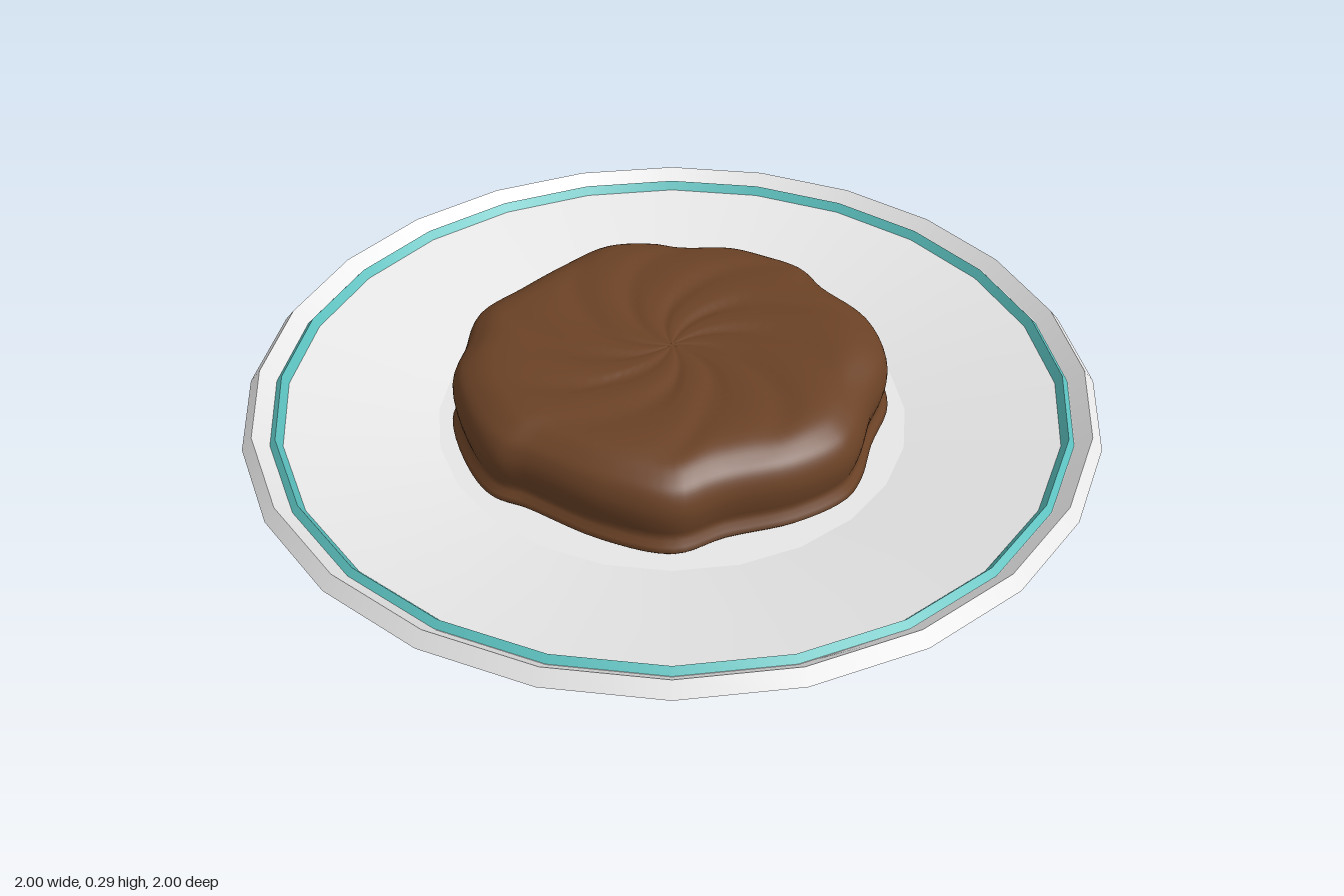
import * as THREE from 'three';

const SIDES = 24;

function material(name, color) {
  const m = new THREE.MeshStandardMaterial({ color });
  m.name = name;
  return m;
}

// One turned surface per profile, so the edges between profiles stay sharp
function turned(name, mat, profile) {
  const points = profile.map(([r, y]) => new THREE.Vector2(r, y));
  const mesh = new THREE.Mesh(new THREE.LatheGeometry(points, SIDES), mat);
  mesh.name = name;
  return mesh;
}

// Lumpy round patty with a shallow swirl of grooves on its top
function pattyGeometry() {
  const outline = [
    [0.5, 0.02], [0.5, 0.1], [0.44, 0.22], [0.33, 0.34], [0.26, 0.44], [0.1, 0.48],
    [-0.1, 0.475], [-0.18, 0.48], [-0.28, 0.43], [-0.42, 0.3], [-0.46, 0.2], [-0.51, 0.08],
    [-0.485, -0.05], [-0.45, -0.2], [-0.4, -0.34], [-0.3, -0.41], [-0.23, -0.43], [-0.1, -0.5],
    [0, -0.51], [0.1, -0.505], [0.19, -0.45], [0.34, -0.385], [0.44, -0.26], [0.47, -0.1],
  ];
  const curve = new THREE.CatmullRomCurve3(
    outline.map(([x, z]) => new THREE.Vector3(x, 0, z)), true);
  const section = new THREE.SplineCurve([
    [0, 0.08], [0.93, 0.08], [0.98, 0.13], [1, 0.19], [0.975, 0.235], [0.92, 0.262],
    [0.83, 0.283], [0.68, 0.289], [0.4, 0.285], [0.2, 0.281], [0, 0.276],
  ].map(([s, y]) => new THREE.Vector2(s, y)));
  const around = 120, rings = 50;
  const positions = [], index = [];
  for (let j = 0; j <= rings; j++) {
    const p = section.getPoint(j / rings);
    const s = Math.max(0, p.x);
    for (let i = 0; i < around; i++) {
      const edge = curve.getPoint(i / around);
      const angle = Math.atan2(edge.z, edge.x);
      const wave = 0.5 + 0.5 * Math.cos(10 * (angle - 1.3 * s));
      const fade = p.y > 0.24 ? Math.sin(Math.PI * Math.min(1, s / 0.95)) : 0;
      positions.push(edge.x * s, p.y - 0.009 * fade * wave ** 3, edge.z * s);
      if (j < rings) {
        const a = j * around + i, b = j * around + (i + 1) % around;
        if (j > 0) index.push(a, b + around, b);
        if (j < rings - 1 || j === 0) index.push(a, a + around, b + around);
        else index.push(a, a + around, b);
      }
    }
  }
  const geometry = new THREE.BufferGeometry();
  geometry.setAttribute('position', new THREE.Float32BufferAttribute(positions, 3));
  geometry.setIndex(index);
  geometry.computeVertexNormals();
  return geometry;
}

export function createModel() {
  const china = material('pale china', 0xe8e8e8);
  const teal = material('teal glaze', 0x5bc0be);
  const brown = material('brown patty', 0x6b4226);
  const model = new THREE.Group();
  model.name = 'plateWithPatty';

  // Plate body
  const plate = new THREE.Group();
  plate.name = 'plate';
  plate.add(
    turned('plateBase', china, [[0, 0], [0.56, 0]]),
    turned('plateUnderside', china, [[0.56, 0], [0.61, 0.04], [1, 0.17]]),
    turned('rimOuter', china, [[1, 0.17], [0.975, 0.2]]),
    turned('rimInner', china, [[0.975, 0.2], [0.94, 0.17]]),
    turned('plateWall', china, [[0.94, 0.17], [0.56, 0.085]]),
    turned('plateWell', china, [[0.56, 0.085], [0, 0.085]]),
  );

  // Raised coloured ring inside the rim
  const ring = new THREE.Group();
  ring.name = 'tealRing';
  ring.add(
    turned('ringOuter', teal, [[0.94, 0.168], [0.925, 0.184]]),
    turned('ringInner', teal, [[0.925, 0.184], [0.909, 0.162]]),
  );

  const patty = new THREE.Mesh(pattyGeometry(), brown);
  patty.name = 'patty';

  model.add(plate, ring, patty);
  return model;
}
